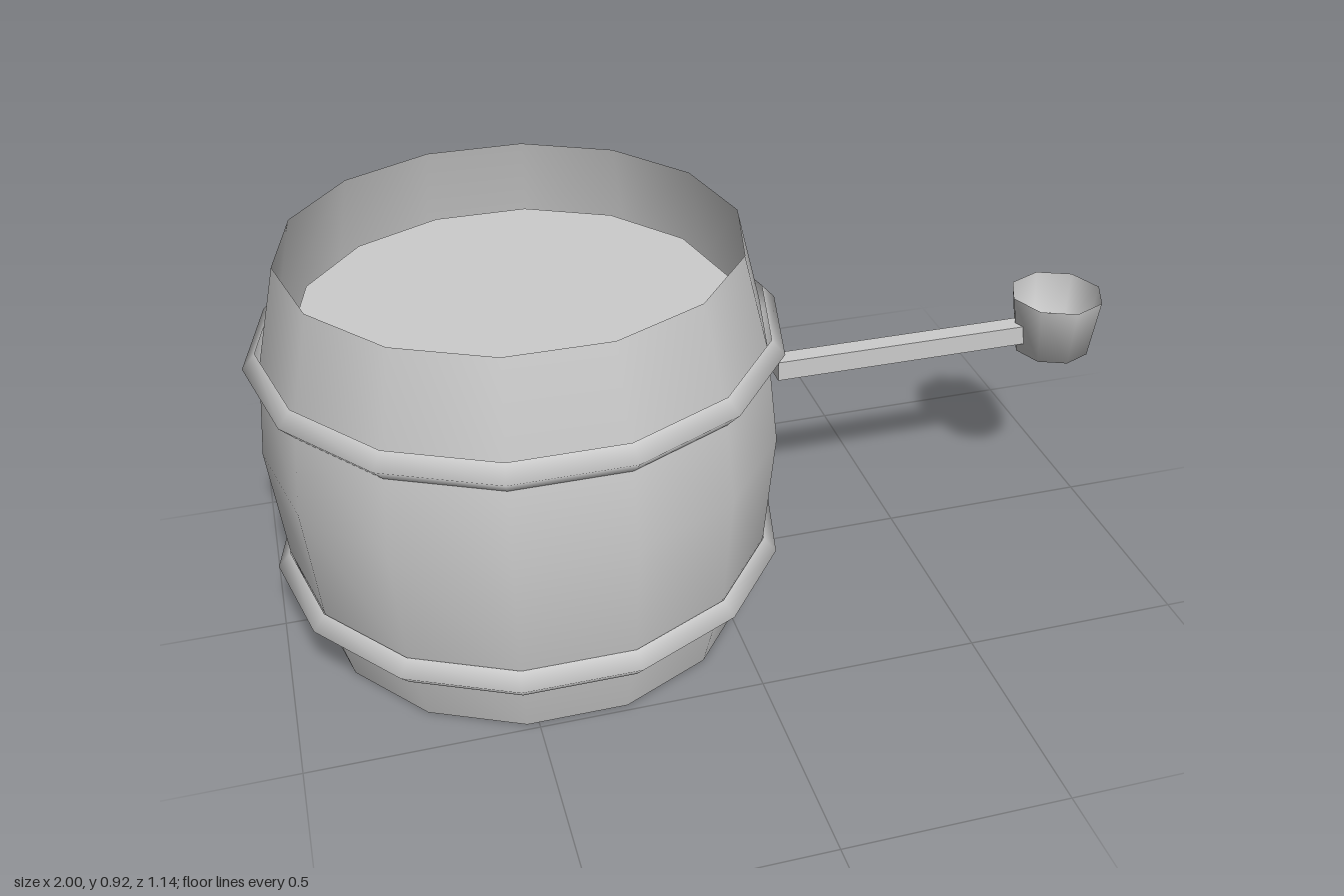
import * as THREE from 'three';

const SIDES = 14;
const material = new THREE.MeshStandardMaterial({ color: 0xcccccc, side: THREE.DoubleSide });

// Revolves [radius, height] points, with one corner pointing along +x
function turned(name, points, sides) {
  const profile = points.map(([r, y]) => new THREE.Vector2(r, y));
  const geometry = new THREE.LatheGeometry(profile, sides);
  geometry.rotateY(Math.PI / 2);
  const mesh = new THREE.Mesh(geometry, material);
  mesh.name = name;
  return mesh;
}

function disc(name, radius, y, facing) {
  const geometry = new THREE.CircleGeometry(radius, SIDES);
  geometry.rotateX(-facing * Math.PI / 2);
  const mesh = new THREE.Mesh(geometry, material);
  mesh.name = name;
  mesh.position.y = y;
  return mesh;
}

export function createModel() {
  const model = new THREE.Group();
  model.name = 'barrelWithLadle';

  // Open, bulging barrel with recessed end discs
  const barrel = new THREE.Group();
  barrel.name = 'barrel';
  barrel.position.x = -0.415;
  barrel.add(turned('staves', [[0.497, 0], [0.549, 0.2], [0.574, 0.47], [0.551, 0.69], [0.497, 0.915]], SIDES));
  barrel.add(disc('topSurface', 0.477, 0.755, 1));
  barrel.add(disc('bottomBoard', 0.477, 0.2, -1));

  // Thin ridged hoops standing just off the staves
  for (const [name, y, r] of [['lowerHoop', 0.164, 0.58], ['upperHoop', 0.687, 0.587]]) {
    barrel.add(turned(name, [[r - 0.03, y - 0.033], [r, y], [r - 0.03, y + 0.033]], SIDES));
  }
  model.add(barrel);

  // Ladle: square handle running into an open eight-sided cup
  const ladle = new THREE.Group();
  ladle.name = 'ladle';
  const handle = new THREE.Mesh(new THREE.BoxGeometry(0.71, 0.048, 0.046), material);
  handle.name = 'handle';
  handle.position.set(0.535, 0.499, 0);
  const cup = turned('cup', [[0, 0.445], [0.091, 0.445], [0.111, 0.59]], 8);
  cup.position.x = 0.887;
  ladle.add(handle, cup);
  model.add(ladle);

  return model;
}
